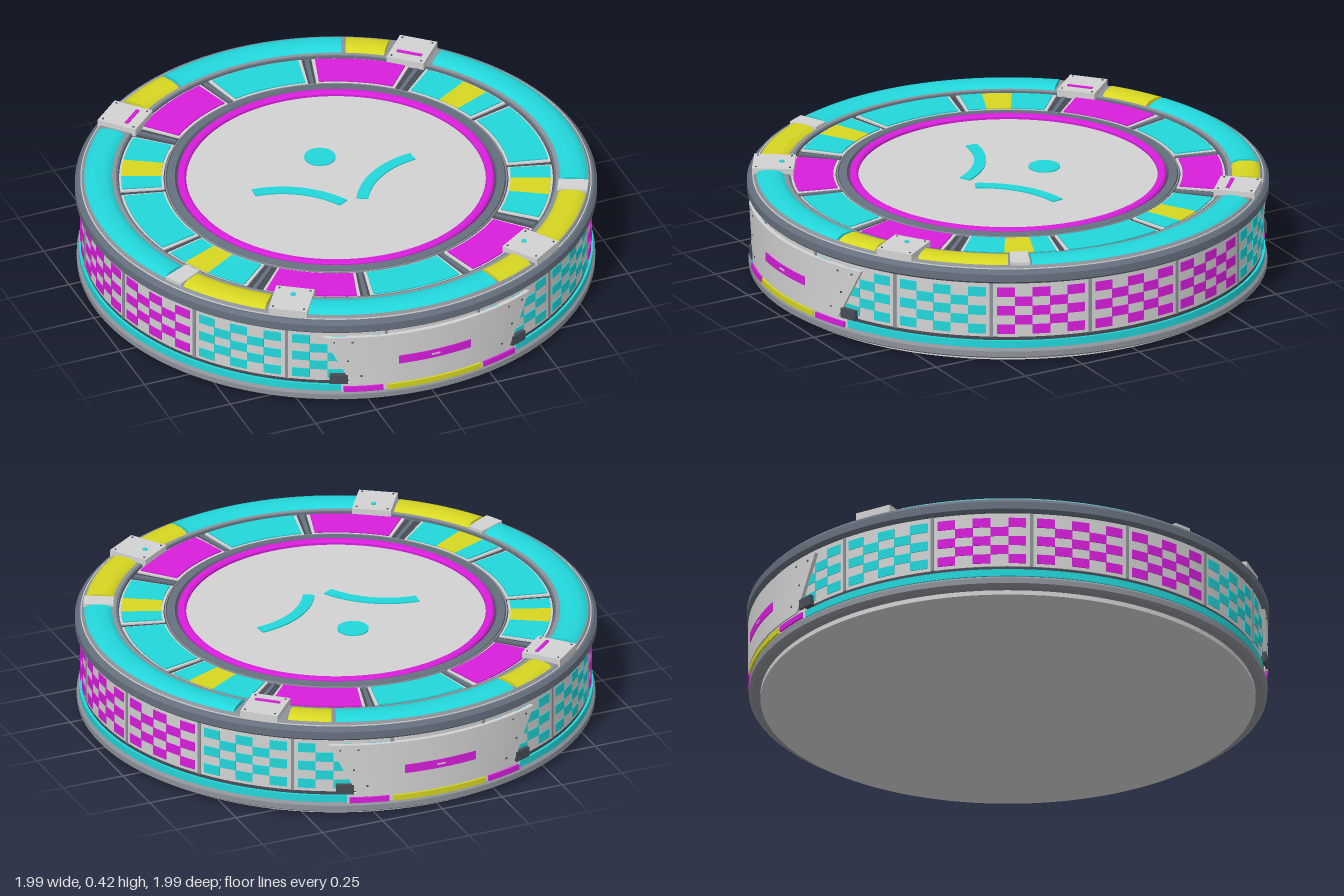
import * as THREE from 'three';
import { mergeGeometries, toCreasedNormals } from 'three/addons/utils/BufferGeometryUtils.js';

const rad = THREE.MathUtils.degToRad;
const mat = (name, color) => Object.assign(new THREE.MeshStandardMaterial({ color }), { name });

// Ring or ring segment: closed profile [r, y] swept from angle a to b (degrees, 0 = front, 90 = left)
function sweep(profile, a = 0, b = 360) {
  const pts = profile.map(([r, y]) => new THREE.Vector2(r, y));
  const full = b - a >= 360;
  const segments = full ? 128 : Math.max(2, Math.ceil((b - a) / 3));
  const parts = [new THREE.LatheGeometry([...pts, pts[0].clone()], segments, rad(a), rad(b - a))];
  if (!full) {
    for (const [angle, flip] of [[a, false], [b, true]]) {
      const cap = new THREE.ShapeGeometry(new THREE.Shape(pts));
      if (flip) cap.index.array.reverse();
      parts.push(cap.rotateY(rad(angle - 90)));
    }
  }
  return toCreasedNormals(mergeGeometries(parts.map((g) => g.toNonIndexed())), 0.5);
}
const block = (r0, r1, y0, y1, a, b) => sweep([[r0, y0], [r1, y0], [r1, y1], [r0, y1]], a, b);

// Box wrapped round the drum; half-angle runs from bottom to top
function wrappedPlate(r0, r1, y0, y1, bottomAngle, topAngle) {
  const g = new THREE.BoxGeometry(2, 1, 1, 24, 1, 1);
  const p = g.attributes.position;
  for (let i = 0; i < p.count; i++) {
    const t = p.getY(i) + 0.5;
    const phi = rad(p.getX(i) * THREE.MathUtils.lerp(bottomAngle, topAngle, t));
    const r = p.getZ(i) > 0 ? r1 : r0;
    p.setXYZ(i, r * Math.sin(phi), y0 + (y1 - y0) * t, r * Math.cos(phi));
  }
  return toCreasedNormals(g, 0.5);
}

export function createModel() {
  const light = mat('light grey', 0xd2d2d2);
  const grey = mat('mid grey', 0x8d9299);
  const slate = mat('slate', 0x66707e);
  const dark = mat('dark slate', 0x474c57);
  const cyan = mat('cyan', 0x22d6da);
  const magenta = mat('magenta', 0xd81edc);
  const yellow = mat('yellow', 0xd6d622);

  const model = new THREE.Group();
  model.name = 'roundPlatform';
  const add = (name, geometry, material, parent = model) => {
    const mesh = new THREE.Mesh(geometry, material);
    mesh.name = name;
    parent.add(mesh);
    return mesh;
  };
  const addGroup = (name, angle) => {
    const g = new THREE.Group();
    g.name = name;
    g.rotation.y = rad(angle);
    model.add(g);
    return g;
  };

  // Drum, from the foot upwards
  add('foot', new THREE.CylinderGeometry(0.945, 0.945, 0.03, 128).translate(0, 0.015, 0), light);
  add('baseBand', sweep([[0.5, 0.018], [0.975, 0.018], [0.99, 0.028], [0.99, 0.05], [0.98, 0.06], [0.5, 0.06]]), grey);
  add('lowerTrimRing', block(0.9, 0.982, 0.062, 0.09), cyan);
  add('lowerSeam', block(0.9, 0.972, 0.055, 0.115), dark);
  add('wall', block(0.9, 0.975, 0.105, 0.33), light);
  add('rim', sweep([[0.84, 0.328], [0.985, 0.328], [0.997, 0.338], [0.997, 0.368], [0.985, 0.382], [0.84, 0.382]]), slate);
  add('rimCap', sweep([[0.84, 0.37], [0.984, 0.37], [0.965, 0.394], [0.84, 0.394]]), grey);

  // Checked wall panels and their seams, sixteen round the drum
  const checks = { cyan: [], magenta: [] };
  const seams = [];
  for (let n = 0; n < 16; n++) {
    const start = n * 22.5 - 11.25;
    seams.push(block(0.96, 0.979, 0.105, 0.33, start - 0.35, start + 0.35));
    if (n % 8 === 0) continue;
    const key = Math.abs((n % 8) - 4) <= 1 ? 'magenta' : 'cyan';
    for (let i = 0; i < 5; i++) {
      for (let j = 0; j < 5; j++) {
        if ((i + j) % 2) continue;
        const a = start + 1.25 + i * 4;
        const y = 0.118 + j * 0.038;
        checks[key].push(block(0.972, 0.978, y, y + 0.038, a, a + 4));
      }
    }
  }
  add('wallSeams', mergeGeometries(seams), grey);
  add('cyanChecks', mergeGeometries(checks.cyan), cyan);
  add('magentaChecks', mergeGeometries(checks.magenta), magenta);

  // Front and back access plates with lower trim and clips
  for (const [side, angle] of [['front', 0], ['back', 180]]) {
    const g = addGroup(side + 'Plate', angle);
    add('plate', wrappedPlate(0.96, 0.992, 0.095, 0.308, 19, 25.5), light, g);
    add('plateBar', wrappedPlate(0.99, 0.995, 0.175, 0.21, 8.6, 8.6), magenta, g);
    add('barMark', wrappedPlate(0.99, 0.997, 0.189, 0.195, 1, 1), light, g);
    add('plateSkirt', wrappedPlate(0.95, 0.985, 0.06, 0.1, 21.5, 21.5), light, g);
    add('yellowTrim', wrappedPlate(0.96, 0.993, 0.062, 0.084, 11.2, 11.2), yellow, g);
    for (const s of [-1, 1]) {
      const mid = s * 16.5;
      add('magentaTrim', block(0.96, 0.993, 0.062, 0.084, mid - 4.4, mid + 4.4), magenta, g);
      add('clip', block(0.95, 0.994, 0.1, 0.14, s * 22 - 2, s * 22 + 2), dark, g);
      for (const [y, a] of [[0.285, 19], [0.285, 23], [0.13, 17], [0.2, 20]]) {
        add('rivet', block(0.99, 0.994, y, y + 0.006, s * a - 0.2, s * a + 0.2), dark, g);
      }
    }
  }

  // Outer ring of rounded coloured segments on the rim
  const tubeProfile = [[0.852, 0.38], [0.964, 0.38], [0.962, 0.393], [0.95, 0.403], [0.93, 0.409],
    [0.885, 0.409], [0.865, 0.403], [0.854, 0.393]];
  const outer = [
    [-30, 17, cyan], [17.8, 28, yellow], [39, 60, yellow], [65.5, 132, cyan], [145, 155, yellow],
    [156, 201, cyan], [202, 215, yellow], [228, 294.5, cyan], [300, 321, yellow],
  ];
  for (const [a, b, m] of outer) add('outerSegment', sweep(tubeProfile, a, b), m);
  for (const a of [60.5, 295]) add('ringSpacer', block(0.85, 0.965, 0.38, 0.406, a, a + 4.5), light);
  add('rimInlay', block(0.968, 0.976, 0.37, 0.385), light);

  // Four corner brackets clamping the outer ring
  for (const [angle, front] of [[33.5, true], [-33.5, true], [138.5, false], [-138.5, false]]) {
    const g = addGroup('cornerBracket', angle);
    add('bracketPlate', new THREE.BoxGeometry(0.15, 0.03, 0.16).translate(0, 0.4, 0.895), light, g);
    if (front) {
      add('bracketLamp', new THREE.CylinderGeometry(0.01, 0.01, 0.004, 16).translate(0, 0.417, 0.865), cyan, g);
    } else {
      add('bracketStripe', new THREE.BoxGeometry(0.1, 0.004, 0.014).translate(0, 0.417, 0.865), magenta, g);
    }
    for (const x of [-0.06, 0.06]) {
      for (const z of [0.83, 0.96]) {
        add('bracketRivet', new THREE.CylinderGeometry(0.004, 0.004, 0.003, 8).translate(x, 0.416, z), dark, g);
      }
    }
  }

  // Inner track: floor, edging rings and coloured panels
  add('trackFloor', block(0.55, 0.86, 0.3, 0.38), dark);
  add('outerTrackRing', block(0.832, 0.848, 0.37, 0.392), slate);
  add('innerTrackRing', sweep([[0.608, 0.37], [0.65, 0.37], [0.645, 0.39], [0.615, 0.394]]), slate);
  add('innerTrackEdge', block(0.65, 0.654, 0.37, 0.389), grey);
  const track = [
    [-12.5, 12.5, [[-12.5, 12.5, cyan]]],
    [17, 41.5, [[17, 41.5, magenta]]],
    [48, 73, [[48, 59, cyan], [59, 67, yellow], [67, 73, cyan]]],
    [76.5, 103.5, [[76.5, 103.5, cyan]]],
    [107, 132, [[107, 113, cyan], [113, 121, yellow], [121, 132, cyan]]],
    [138.5, 163, [[138.5, 163, magenta]]],
    [167.5, 192.5, [[167.5, 192.5, cyan]]],
  ];
  for (const s of [1, -1]) {
    for (const [a, b, panels] of track) {
      const centred = a + b === 0 || a + b === 360;
      if (s < 0 && centred) continue;
      const place = (u, v) => (s > 0 ? [u, v] : [-v, -u]);
      add('panelFrame', block(0.658, 0.828, 0.37, 0.386, ...place(a - 0.9, b + 0.9)), light);
      for (const [u, v, m] of panels) add('trackPanel', block(0.667, 0.82, 0.38, 0.391, ...place(u, v)), m);
    }
  }
  for (const a of [14.75, 44.75, 135.25, 165.25]) {
    for (const s of [1, -1]) add('panelDivider', block(0.66, 0.825, 0.375, 0.388, s * a - 0.6, s * a + 0.6), slate);
  }

  // Recessed centre disc with its ring and inlaid marks
  add('centreRing', sweep([[0.572, 0.37], [0.605, 0.37], [0.605, 0.391], [0.598, 0.398], [0.58, 0.398], [0.572, 0.391]]), magenta);
  add('centreDisc', new THREE.CylinderGeometry(0.574, 0.574, 0.08, 96).translate(0, 0.342, 0), light);
  add('inlayDot', new THREE.CylinderGeometry(0.06, 0.06, 0.006, 32).translate(0, 0.384, -0.16), cyan);
  for (const s of [1, -1]) {
    const [a, b] = s > 0 ? [-175, -117] : [117, 175];
    add('inlayArc', block(0.337, 0.382, 0.381, 0.387, a, b).translate(s * 0.36, 0, 0.33), cyan);
  }
  return model;
}
